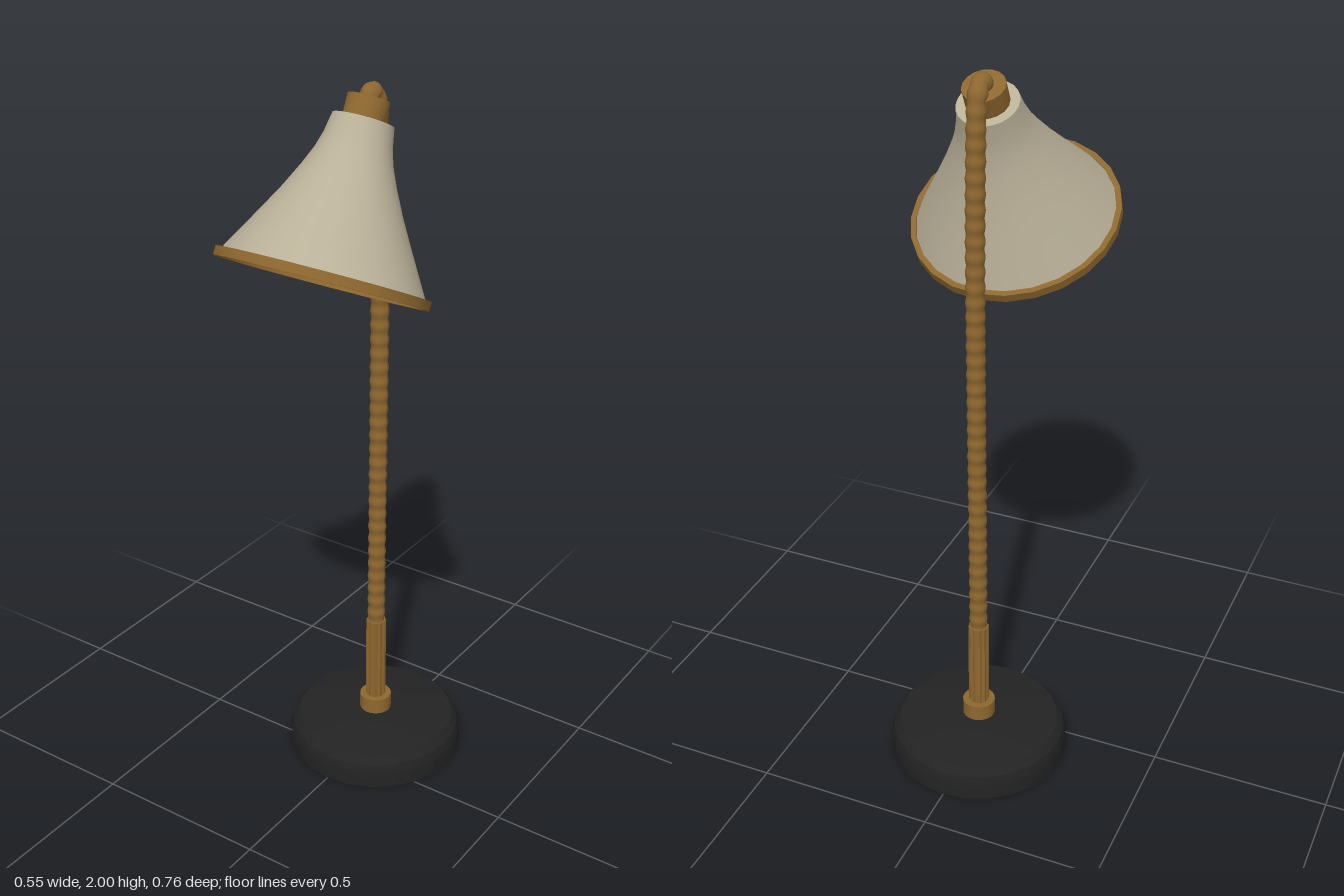
import * as THREE from 'three';
import { toCreasedNormals } from 'three/addons/utils/BufferGeometryUtils.js';

const POLE_Z = -0.127;

export function createModel() {
  const group = new THREE.Group();
  const material = (name, color, side = THREE.FrontSide, flatShading = false) =>
    Object.assign(new THREE.MeshStandardMaterial({ color, side, flatShading }), { name });
  const black = material('black', 0x232323);
  const brass = material('brass', 0x8e672f);
  const cream = material('cream', 0xb9b098, THREE.DoubleSide);
  const glass = material('glass', 0xc4bcab);

  const add = (parent, name, geometry, mat, y = 0, z = 0) => {
    const mesh = new THREE.Mesh(geometry, mat);
    mesh.name = name;
    mesh.position.set(0, y, z);
    parent.add(mesh);
    return mesh;
  };
  const lathe = (points, sides, crease = 0.45) => toCreasedNormals(
    new THREE.LatheGeometry(points.map(([r, y]) => new THREE.Vector2(r, y)), sides), crease);

  // Heavy round base with a bevelled shoulder and slightly domed top
  add(group, 'base', lathe([[0, 0], [0.253, 0], [0.253, 0.05], [0.246, 0.073],
    [0.228, 0.094], [0.12, 0.106], [0, 0.111]], 24, 0.35), black, 0, POLE_Z);

  // Collar where the stem meets the base
  add(group, 'stemCollar', toCreasedNormals(new THREE.CylinderGeometry(0.046, 0.046, 0.055, 20), 0.5),
    brass, 0.128, POLE_Z);

  // Fluted lower sleeve: every second corner is pulled inward
  const sleeve = new THREE.CylinderGeometry(0.029, 0.029, 0.27, 24);
  const sp = sleeve.attributes.position;
  for (let i = 0; i < sp.count; i++) {
    const step = Math.round(Math.atan2(sp.getX(i), sp.getZ(i)) / (Math.PI / 12));
    if (step % 2) {
      sp.setX(i, sp.getX(i) * 0.88);
      sp.setZ(i, sp.getZ(i) * 0.88);
    }
  }
  add(group, 'flutedSleeve', toCreasedNormals(sleeve, 0.2), brass, 0.28, POLE_Z);

  // Gooseneck stem: a tube with gentle ribs, hooking forward at the top
  const path = new THREE.CatmullRomCurve3([
    [0.40, -0.127], [0.7, -0.128], [1.1, -0.131], [1.5, -0.132], [1.75, -0.127],
    [1.9, -0.119], [1.95, -0.111], [1.975, -0.09], [1.962, -0.075], [1.935, -0.066],
  ].map(([y, z]) => new THREE.Vector3(0, y, z)), false, 'centripetal');
  const rings = 320, sides = 12, ribs = 40;
  const stem = new THREE.TubeGeometry(path, rings, 0.0245, sides);
  const tp = stem.attributes.position, v = new THREE.Vector3();
  for (let i = 0; i < tp.count; i++) {
    const t = Math.floor(i / (sides + 1)) / rings;
    const centre = path.getPointAt(t);
    v.fromBufferAttribute(tp, i).sub(centre)
      .multiplyScalar(1 + 0.06 * Math.cos(t * ribs * Math.PI * 2)).add(centre);
    tp.setXYZ(i, v.x, v.y, v.z);
  }
  stem.computeVertexNormals();
  add(group, 'gooseneckStem', stem, brass);

  // Tilted lamp head; its origin is the centre of the shade's open rim
  const head = new THREE.Group();
  head.name = 'lampHead';
  head.position.set(0, 1.555, 0.13);
  head.rotation.x = -0.468;
  group.add(head);

  // Flared shade with a flat top
  add(head, 'shade', lathe([[0.268, 0], [0.23, 0.065], [0.192, 0.13], [0.155, 0.195],
    [0.122, 0.26], [0.1, 0.31], [0.088, 0.35], [0.079, 0.4], [0, 0.4]], 24, 0.6), cream);

  // Trim band around the opening
  add(head, 'shadeRim', lathe([[0.262, -0.012], [0.277, -0.012], [0.277, 0.012],
    [0.262, 0.012], [0.262, -0.012]], 24), brass);

  // Socket: cap above the shade and holder inside it
  add(head, 'socketCap', toCreasedNormals(new THREE.CylinderGeometry(0.055, 0.055, 0.056, 16), 0.5),
    brass, 0.427);
  add(head, 'bulbHolder', toCreasedNormals(new THREE.CylinderGeometry(0.04, 0.04, 0.13, 16), 0.5),
    brass, 0.33);

  // Bulb with a neck rising into the holder
  add(head, 'bulb', lathe([[0, 0.075], [0.032, 0.083], [0.056, 0.107], [0.065, 0.14],
    [0.058, 0.17], [0.043, 0.21], [0.032, 0.25], [0.03, 0.28]], 20, 1), glass);

  return group;
}
